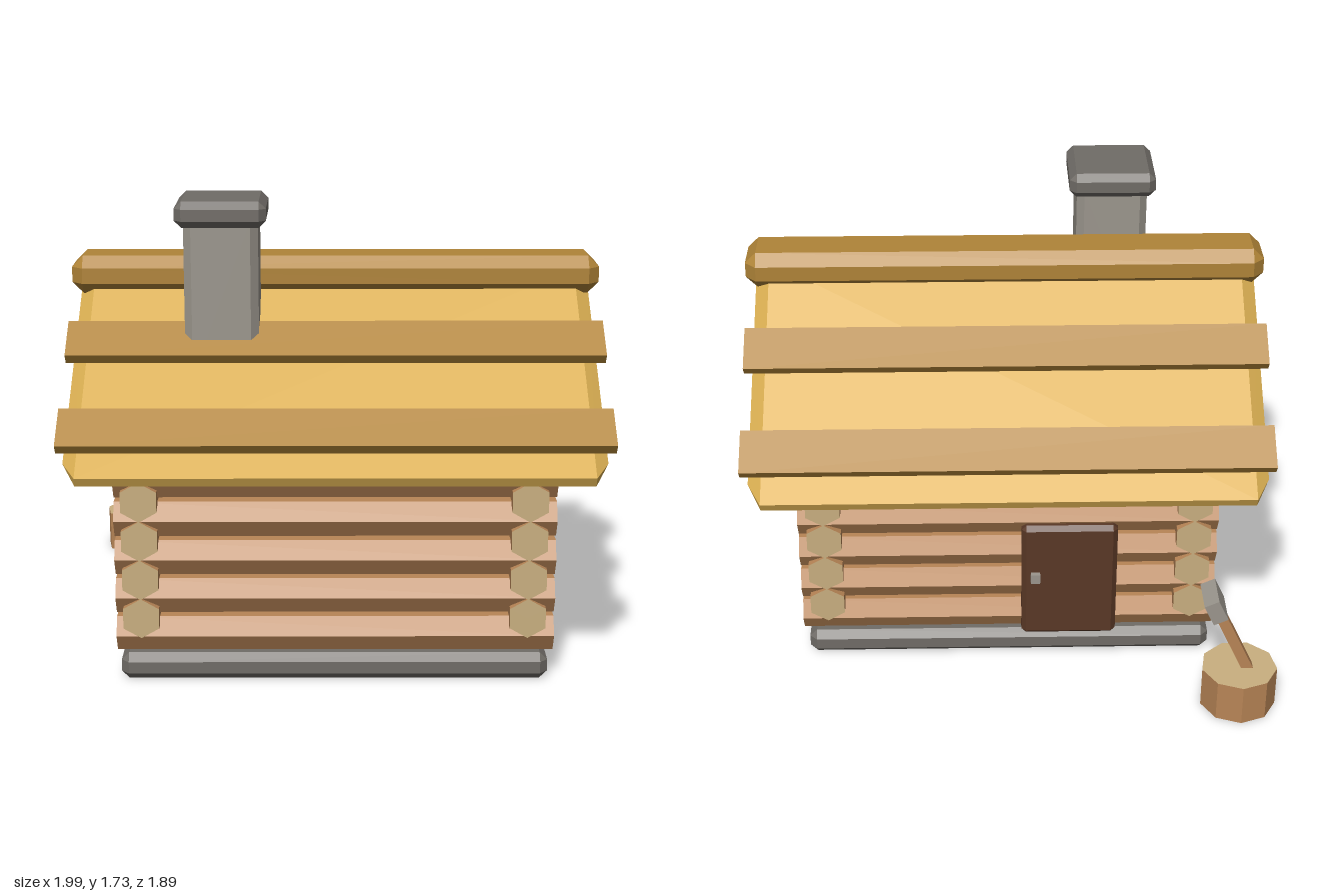
import * as THREE from 'three';
import { ConvexGeometry } from 'three/addons/geometries/ConvexGeometry.js';

const mat = (name, color) => {
  const m = new THREE.MeshStandardMaterial({ color });
  m.name = name;
  return m;
};

// Faceted copy of a smooth geometry
function faceted(geometry) {
  const g = geometry.toNonIndexed();
  g.computeVertexNormals();
  return g;
}

// Box with all edges chamfered by c
function chamferBox(w, h, d, c) {
  const pts = [];
  for (const sx of [-1, 1]) for (const sy of [-1, 1]) for (const sz of [-1, 1]) {
    const x = w / 2, y = h / 2, z = d / 2;
    pts.push(new THREE.Vector3(sx * x, sy * (y - c), sz * (z - c)));
    pts.push(new THREE.Vector3(sx * (x - c), sy * y, sz * (z - c)));
    pts.push(new THREE.Vector3(sx * (x - c), sy * (y - c), sz * z));
  }
  return new ConvexGeometry(pts);
}

export function createModel() {
  const model = new THREE.Group();
  model.name = 'logCabin';

  const roofGold = mat('roofGold', 0xd8ad51);
  const plankBrown = mat('plankBrown', 0xb08438);
  const logBrown = mat('logBrown', 0xb88556);
  const cutWood = mat('cutWood', 0xc9af80);
  const darkWood = mat('darkWood', 0x754b33);
  const doorBrown = mat('doorBrown', 0x5a3826);
  const darkStone = mat('darkStone', 0x706c67);
  const paleStone = mat('paleStone', 0x9b968d);
  const glassBlue = mat('glassBlue', 0x3b425c);

  const add = (name, geometry, material, x, y, z, parent = model) => {
    const mesh = new THREE.Mesh(geometry, material);
    mesh.name = name;
    mesh.position.set(x, y, z);
    parent.add(mesh);
    return mesh;
  };
  const box = (w, h, d) => new THREE.BoxGeometry(w, h, d);
  const midZ = 0.127; // centre line of the cabin

  // Foundation and inner wall core
  add('foundation', chamferBox(1.56, 0.1, 1.255, 0.028), darkStone, 0, 0.05, midZ);
  add('wallCore', box(1.38, 0.73, 1.04), darkWood, 0, 0.455, midZ);

  // Hexagonal logs, interlocked at the corners
  const logs = new THREE.Group();
  logs.name = 'logWalls';
  model.add(logs);
  const logMats = [logBrown, cutWood, cutWood];
  const logX = faceted(new THREE.CylinderGeometry(0.075, 0.075, 1.595, 6).rotateZ(Math.PI / 2));
  const logZ = faceted(new THREE.CylinderGeometry(0.075, 0.075, 1.26, 6).rotateX(Math.PI / 2));
  for (const s of [-1, 1]) {
    for (let i = 0; i < 5; i++) add('longLog', logX, logMats, 0.003, 0.17 + i * 0.146, midZ + s * 0.545, logs);
    for (let i = 0; i < 4; i++) add('sideLog', logZ, logMats, s * 0.702, 0.242 + i * 0.147, midZ, logs);
  }

  // Roof: triangular prism with bevelled gables
  const roofPts = [];
  for (const sx of [-1, 1]) for (const sz of [-1, 1]) {
    for (const [x, y, z] of [[0.905, 0.83, 0.818], [0.905, 0.797, 0.803], [0.905, 1.415, 0.012],
      [0.957, 0.853, 0.715], [0.957, 1.37, 0.004]]) {
      roofPts.push(new THREE.Vector3(sx * x, y, sz * z));
    }
  }
  add('roof', new ConvexGeometry(roofPts), roofGold, 0.003, 0, midZ);
  add('ridgeBeam', chamferBox(1.98, 0.142, 0.225, 0.042), plankBrown, 0.005, 1.407, 0.132);

  // Planks across both slopes
  const plank = box(1.96, 0.042, 0.168);
  for (const s of [-1, 1]) {
    for (const [y, z] of [[1.207, 0.342], [0.962, 0.677]]) {
      add('roofPlank', plank, plankBrown, 0.005, y, midZ + s * z).rotation.x = s * 0.631;
    }
  }

  // Chimney
  add('chimneyStack', chamferBox(0.27, 0.62, 0.27, 0.028), paleStone, -0.41, 1.37, 0.355);
  add('chimneyCap', chamferBox(0.33, 0.095, 0.33, 0.026), darkStone, -0.41, 1.678, 0.355);

  // Window on the left wall
  const win = new THREE.Group();
  win.name = 'window';
  win.position.set(0, 0.553, 0.065);
  model.add(win);
  add('windowFrame', chamferBox(0.08, 0.365, 0.365, 0.012), darkWood, 0.775, 0, 0, win);
  add('windowGlass', chamferBox(0.05, 0.265, 0.27, 0.008), glassBlue, 0.798, 0, 0, win);
  add('windowBar', box(0.05, 0.27, 0.04), darkWood, 0.805, 0, 0, win);
  add('windowSill', box(0.1, 0.046, 0.43), logBrown, 0.785, -0.205, 0, win);

  // Back door
  add('door', chamferBox(0.365, 0.5, 0.08, 0.018), doorBrown, -0.23, 0.35, -0.48);
  add('doorHandle', box(0.036, 0.04, 0.03), paleStone, -0.1, 0.375, -0.523);

  // Chopping block with axe
  const block = faceted(new THREE.CylinderGeometry(0.143, 0.143, 0.162, 9, 1, false, Math.PI));
  add('choppingBlock', block, logMats, -0.859, 0.081, -0.803);
  const axe = new THREE.Group();
  axe.name = 'axe';
  axe.position.set(-0.75, 0.457, -0.803);
  axe.rotation.z = -0.435;
  model.add(axe);
  add('axeHandle', box(0.04, 0.36, 0.04), logBrown, 0, -0.175, 0, axe);
  add('axeHead', box(0.058, 0.09, 0.145), paleStone, 0, 0, 0, axe);

  return model;
}
